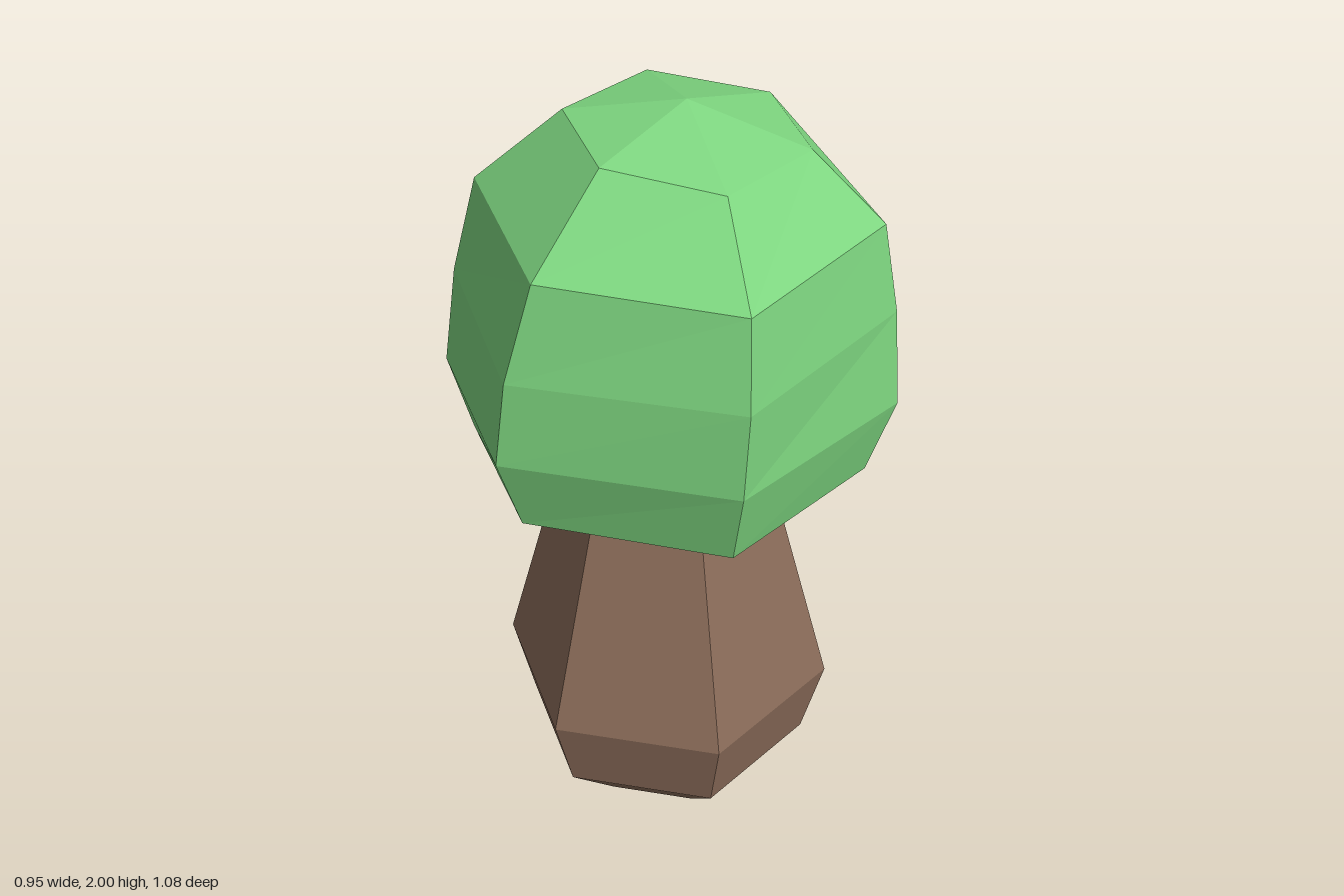
import * as THREE from 'three';

const capGreen = new THREE.MeshStandardMaterial({ color: 0x7ed680, flatShading: true, side: THREE.DoubleSide });
capGreen.name = 'capGreen';
const stemBrown = new THREE.MeshStandardMaterial({ color: 0x8d6e5b, flatShading: true });
stemBrown.name = 'stemBrown';

// Slightly uneven six-sided cross-sections of the cap, from the rim upwards.
// Corner order: front, front left, back left, back, back right, front right.
const capRings = [
  [[0, 1.10, 0.48], [0.415, 1.085, 0.245], [0.415, 1.035, -0.2], [0, 1.08, -0.475], [-0.42, 1.06, -0.24], [-0.42, 1.11, 0.225]],
  [[0, 1.305, 0.537], [0.475, 1.28, 0.27], [0.47, 1.22, -0.235], [0.005, 1.27, -0.54], [-0.47, 1.25, -0.275], [-0.48, 1.31, 0.255]],
  [[0.01, 1.53, 0.54], [0.46, 1.53, 0.26], [0.46, 1.47, -0.22], [0.01, 1.53, -0.515], [-0.44, 1.51, -0.255], [-0.455, 1.53, 0.265]],
  [[0.02, 1.75, 0.5], [0.425, 1.755, 0.245], [0.43, 1.72, -0.21], [0.025, 1.77, -0.457], [-0.385, 1.76, -0.225], [-0.385, 1.77, 0.265]],
  [[0.035, 1.925, 0.3], [0.285, 1.91, 0.145], [0.29, 1.91, -0.135], [0.04, 1.94, -0.27], [-0.2, 1.95, -0.13], [-0.2, 1.955, 0.155]],
];

// Skins the rings and closes both ends with fans to a centre point.
function skinRings(rings, bottom, top) {
  const out = [];
  const tri = (a, b, c) => out.push(...a, ...b, ...c);
  const n = rings[0].length;
  const last = rings[rings.length - 1];
  for (let j = 0; j < n; j++) {
    const k = (j + 1) % n;
    for (let i = 0; i < rings.length - 1; i++) {
      tri(rings[i][j], rings[i][k], rings[i + 1][k]);
      tri(rings[i][j], rings[i + 1][k], rings[i + 1][j]);
    }
    tri(last[j], last[k], top);
    tri(rings[0][k], rings[0][j], bottom);
  }
  const geometry = new THREE.BufferGeometry();
  geometry.setAttribute('position', new THREE.Float32BufferAttribute(out, 3));
  geometry.computeVertexNormals();
  return geometry;
}

export function createModel() {
  const model = new THREE.Group();
  model.name = 'mushroom';

  // Cap with a hollow underside
  const cap = new THREE.Mesh(skinRings(capRings, [0, 1.32, 0], [0.045, 2, 0]), capGreen);
  cap.name = 'cap';
  model.add(cap);

  // Six-sided bulbous stem, its top tucked inside the cap
  const profile = [[0, 0], [0.21, 0.06], [0.36, 0.21], [0.415, 0.42], [0.185, 1.3], [0, 1.3]]
    .map(([r, y]) => new THREE.Vector2(r, y));
  const stem = new THREE.Mesh(new THREE.LatheGeometry(profile, 6), stemBrown);
  stem.name = 'stem';
  model.add(stem);

  return model;
}
